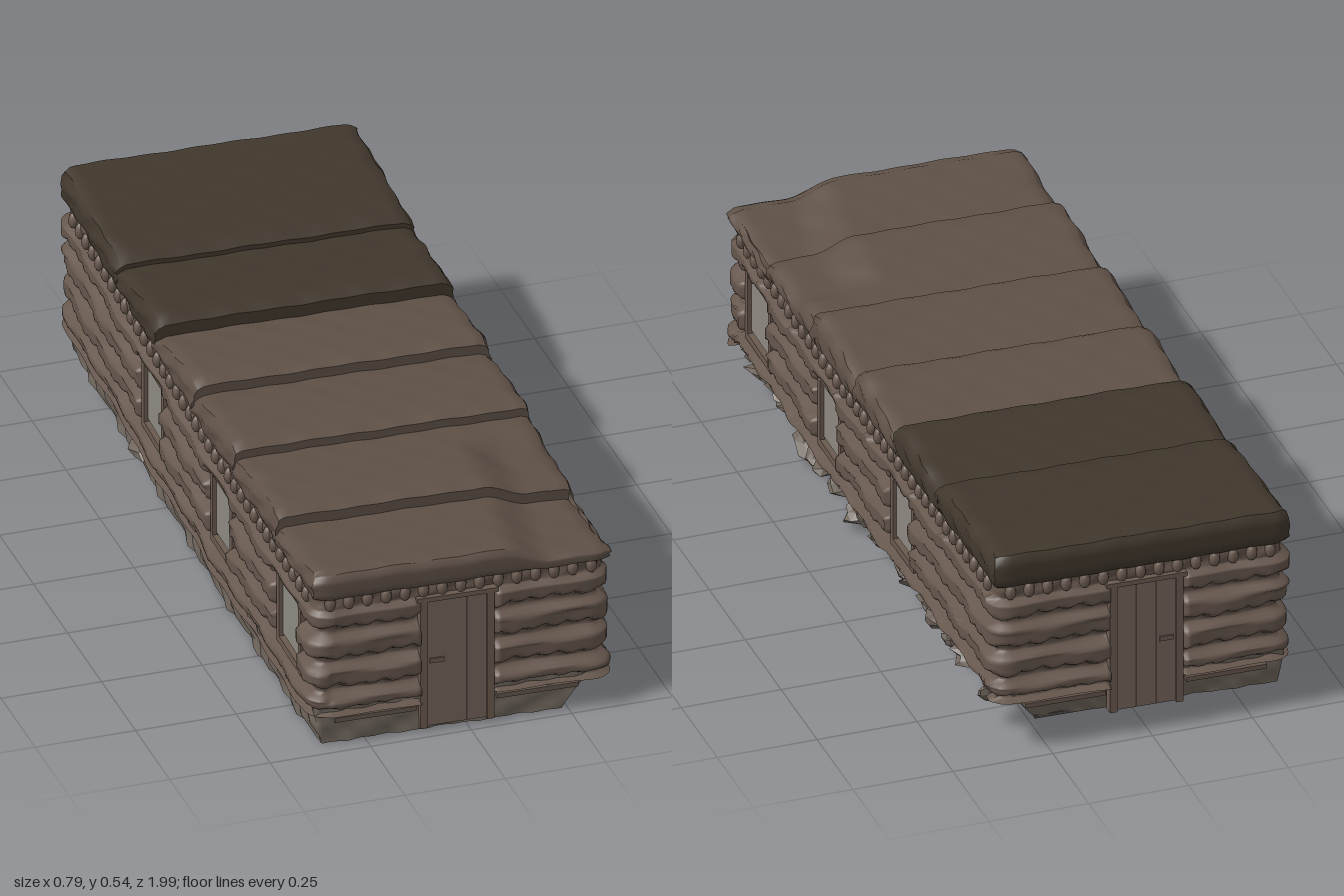
import * as THREE from 'three';

const mat = (color) => new THREE.MeshStandardMaterial({ color, side: THREE.DoubleSide });
const LOG = mat(0x65564c), DOOR = mat(0x75645a), ROOF = mat(0x5e5046), ROOF_DARK = mat(0x40372c);
const PANE = mat(0x8d8881), FRAME = mat(0x6b5b50), STONE = mat(0x6f655c), FLOOR = mat(0x4c4946);

const step = THREE.MathUtils.smoothstep, lerp = THREE.MathUtils.lerp;
const WINDOWS = [[0.77, 0.095], [0.25, 0.085], [-0.28, 0.085]]; // centre z, half width
const LEVELS = [0.08, 0.12, 0.195, 0.275, 0.355];               // shelf heights between logs

let seed = 7;
const rand = () => (seed = (seed * 16807) % 2147483647) / 2147483647;
const wobble = (a, b) => Math.sin(a * 23 + b * 31) * 0.5 + Math.sin(a * 57 - b * 41 + 1.3) * 0.5;

// The rear end rises and the plan is turned slightly
const lift = (z) => Math.max(0, 0.2 - z) * 0.048;
function move(geo, rule) {
  const p = geo.attributes.position, v = new THREE.Vector3();
  for (let i = 0; i < p.count; i++) {
    rule(v.fromBufferAttribute(p, i));
    p.setXYZ(i, v.x, v.y, v.z);
  }
  geo.computeVertexNormals();
  return geo;
}
const lean = (geo, raise = true) => move(geo, (v) => {
  if (raise) v.y += lift(v.z);
  const x = v.x;
  v.x -= 0.0165 * v.z;
  v.z += 0.025 * x;
});

function add(group, name, geo, material) {
  const mesh = new THREE.Mesh(geo, material);
  mesh.name = name;
  group.add(mesh);
}
function box(w, h, d, x, y, z) {
  return lean(new THREE.BoxGeometry(w, h, d, 1, 1, d > 1 ? 24 : 1).toNonIndexed().translate(x, y, z));
}

// How far the log wall stands out at a height y and a distance s round the wall
function logOffset(y, s) {
  if (y > 0.357) return 0.006 + 0.004 * wobble(s, y * 3);
  let k = 0;
  while (k < LEVELS.length - 2 && y >= LEVELS[k + 1]) k++;
  const t = (y - LEVELS[k]) / (LEVELS[k + 1] - LEVELS[k]);
  const lump = 0.12 * Math.abs(Math.sin(s * 58 + k * 2)) + 0.05 * wobble(s, k);
  const gap = step(t, 0.02, 0.22) * (1 - step(t + lump, 0.42, 0.66));
  return 0.023 - 0.026 * gap + 0.006 * wobble(s * 0.5, k * 3);
}

// Log walls: one hollow ring of outline points repeated at many heights
function wallGeometry() {
  const hx = 0.35, hz = 0.957, r = 0.03, n = 520, rows = 54;
  const s = new THREE.Shape();
  s.moveTo(-hx + r, -hz);
  s.lineTo(hx - r, -hz); s.quadraticCurveTo(hx, -hz, hx, -hz + r);
  s.lineTo(hx, hz - r); s.quadraticCurveTo(hx, hz, hx - r, hz);
  s.lineTo(-hx + r, hz); s.quadraticCurveTo(-hx, hz, -hx, hz - r);
  s.lineTo(-hx, -hz + r); s.quadraticCurveTo(-hx, -hz, -hx + r, -hz);
  const ring = s.getSpacedPoints(n).slice(0, n).map((p) => [p.x, -p.y]);
  const pos = [], idx = [];
  for (let j = 0; j <= rows; j++) {
    for (let i = 0; i < n; i++) {
      const [x, z] = ring[i], a = ring[(i + n - 1) % n], b = ring[(i + 1) % n];
      const len = Math.hypot(b[0] - a[0], b[1] - a[1]);
      const nx = -(b[1] - a[1]) / len, nz = (b[0] - a[0]) / len;
      // the left wall ends higher, with a ragged lower edge
      const foot = 0.08 + (nx > 0.9 ? 0.035 * step(0.93 - Math.abs(z), 0, 0.06) + 0.006 * wobble(z, 0) : 0);
      const y = lerp(foot, 0.42, j / rows);
      let out = logOffset(y, (i / n) * 5.2);
      if (Math.abs(nz) > 0.9 && Math.abs(x + 0.01) < 0.09 && y < 0.36) out = 0.002;
      if (Math.abs(nx) > 0.9 && y > 0.135 && y < 0.335 &&
        WINDOWS.some(([c, w]) => Math.abs(z - c) < w)) out = -0.004;
      pos.push(x + nx * out, y, z + nz * out);
      if (j < rows) {
        const p = j * n + i, q = j * n + (i + 1) % n;
        idx.push(p, q, q + n, p, q + n, p + n);
      }
    }
  }
  const geo = new THREE.BufferGeometry();
  geo.setAttribute('position', new THREE.Float32BufferAttribute(pos, 3));
  geo.setIndex(idx);
  return lean(geo);
}

// Roof slab from z0 (front) to z1 (rear); its top runs from y0 to y1 along a curve
function slab(z0, z1, y0, y1, curve) {
  const geo = new THREE.BoxGeometry(2, 1, 1, 48, 6, 18);
  return lean(move(geo, (v) => {
    const t = 0.5 - v.z, h = v.y + 0.5, side = v.x;
    const z = z0 + (z1 - z0) * t;
    // ragged eaves, slightly drawn in at the top and bottom
    v.x = side * (0.368 - 0.012 * Math.pow(Math.abs(h - 0.5) * 2, 3) + 0.005 * wobble(z, h * 2));
    const top = y0 + (y1 - y0) * Math.pow(t, curve)
      - 0.007 * step(Math.abs(side), 0.95, 1) - 0.012 * (1 - step(t, 0, 0.1));
    const bottom = 0.395 + lift(z);
    v.y = bottom + (top - bottom) * h + 0.002 * wobble(v.x, z);
    // sunken corner at the front
    v.y -= 0.036 * h * step(v.x + 0.15 * Math.max(0, z - 0.7), 0.14, 0.26) * step(z, 0.4, 0.52);
    v.z = z;
    // rounded outer ends
    if (Math.abs(z) > 0.96) v.z -= Math.sign(z) * 0.012 * (step(Math.abs(side), 0.93, 1) + step(Math.abs(h - 0.5), 0.3, 0.5));
  }), false);
}

// Foundation skirt round the right, front and rear; its left side is open
function skirtGeometry() {
  const foot = [[0.25, 0.962], [-0.345, 0.962], [-0.345, -0.945], [0.25, -0.92]];
  const head = [[0.34, 0.962], [-0.36, 0.962], [-0.36, -0.962], [0.34, -0.962]];
  return lean(move(new THREE.PlaneGeometry(3, 1, 150, 6), (v) => {
    const u = v.x + 1.5, h = v.y + 0.5, k = Math.min(2, Math.floor(u + 1e-6)), t = u - k;
    const at = (line, c) => lerp(line[k][c], line[k + 1][c], t);
    v.x = lerp(at(foot, 0), at(head, 0), h) + (k === 1 ? 0.012 * wobble(t * 2, h * 0.3) : 0);
    v.z = lerp(at(foot, 1), at(head, 1), h) + (k !== 1 ? 0.005 * wobble(t, h * 0.3) : 0);
    v.y = 0.004 + 0.115 * h;
  }));
}

export function createModel() {
  const model = new THREE.Group();
  model.name = 'longCabin';

  add(model, 'logWalls', wallGeometry(), LOG);

  // Roof slabs, overlapping like large shingles
  const slabs = [
    [0.988, 0.66, 0.474, 0.442, 0.7], [0.69, 0.34, 0.482, 0.452, 2], [0.36, 0.03, 0.488, 0.455, 2.5],
    [0.05, -0.26, 0.496, 0.462, 1.8], [-0.24, -0.56, 0.508, 0.486, 1.8], [-0.54, -0.983, 0.512, 0.538, 1],
  ];
  slabs.forEach((d, i) => add(model, 'roofSlab', slab(...d), i > 3 ? ROOF_DARK : ROOF));

  // Row of blunt rafter ends below the eaves
  const rafters = new THREE.Group();
  rafters.name = 'rafterEnds';
  model.add(rafters);
  const rafter = (x, z) => {
    const g = new THREE.SphereGeometry(0.014, 8, 6).scale(1, 1.5, 1);
    add(rafters, 'rafterEnd', lean(g.translate(x, 0.379, z)), FRAME);
  };
  for (const side of [-1, 1]) {
    for (let x = -0.32; x < 0.33; x += 0.046) rafter(x, side * 0.964);
    for (let z = -0.9; z < 0.92; z += 0.05) rafter(side * 0.357, z);
  }

  // Windows on both long sides, nearly flush with the logs
  for (const side of [-1, 1]) {
    for (const [z, w] of WINDOWS) {
      const win = new THREE.Group();
      win.name = 'window';
      model.add(win);
      add(win, 'pane', box(0.012, 0.15, w * 1.5, side * 0.346, 0.24, z), PANE);
      for (const e of [-1, 1]) {
        add(win, 'jamb', box(0.022, 0.2, 0.018, side * 0.35, 0.237, z + e * w * 0.88), FRAME);
        add(win, 'rail', box(0.022, 0.018, w * 1.8, side * 0.35, 0.237 + e * 0.09, z), FRAME);
      }
    }
  }

  // Plank door at each end, with posts and a head beam
  for (const end of [-1, 1]) {
    const door = new THREE.Group();
    door.name = end > 0 ? 'frontDoor' : 'rearDoor';
    model.add(door);
    for (let i = -1; i <= 1; i++) {
      add(door, 'doorPlank', box(0.048, 0.34, 0.02, -0.01 + i * 0.049, 0.185, end * 0.962), DOOR);
    }
    for (const e of [-1, 1]) {
      add(door, 'doorPost', box(0.018, 0.345, 0.026, -0.01 + e * 0.082, 0.184, end * 0.964), FRAME);
    }
    add(door, 'doorHead', box(0.2, 0.012, 0.03, -0.01, 0.357, end * 0.964), FRAME);
    add(door, 'latch', box(0.035, 0.012, 0.016, -0.06, 0.19, end * 0.968), FRAME);
  }

  // Foundation skirt and thin floor
  add(model, 'foundation', skirtGeometry(), STONE);
  add(model, 'floorPlate', box(0.59, 0.008, 1.88, -0.045, 0.006, 0.015), FLOOR);

  // Sill boards beside the doors at the foot of each end
  for (const end of [-1, 1]) {
    for (const e of [-1, 1]) {
      add(model, 'sillBoard', box(0.2, 0.012, 0.02, -0.01 + e * 0.2, 0.066, end * 0.962), LOG);
    }
  }

  // Broken rubble along both long sides, thicker below the open left side
  const rubble = new THREE.Group();
  rubble.name = 'rubble';
  model.add(rubble);
  for (const side of [-1, 1]) {
    for (let z = -0.84; z < 0.92; z += side > 0 ? 0.09 : 0.15) {
      const g = new THREE.IcosahedronGeometry(1, 1);
      const k = rand() * 6;
      move(g, (v) => v.multiplyScalar(1 + 0.35 * wobble(v.x * 0.1 + k, v.y * 0.1 + v.z * 0.07)));
      g.scale(0.03 + rand() * 0.025, 0.014 + rand() * 0.014, 0.04 + rand() * 0.03);
      g.rotateX(rand() - 0.5).rotateY(rand() - 0.5).rotateZ(side * (rand() - 0.2));
      g.translate(side * 0.315 - 0.005 + rand() * 0.012, 0.04 + rand() * 0.04, z);
      add(rubble, 'stone', lean(g), STONE);
    }
  }
  return model;
}
